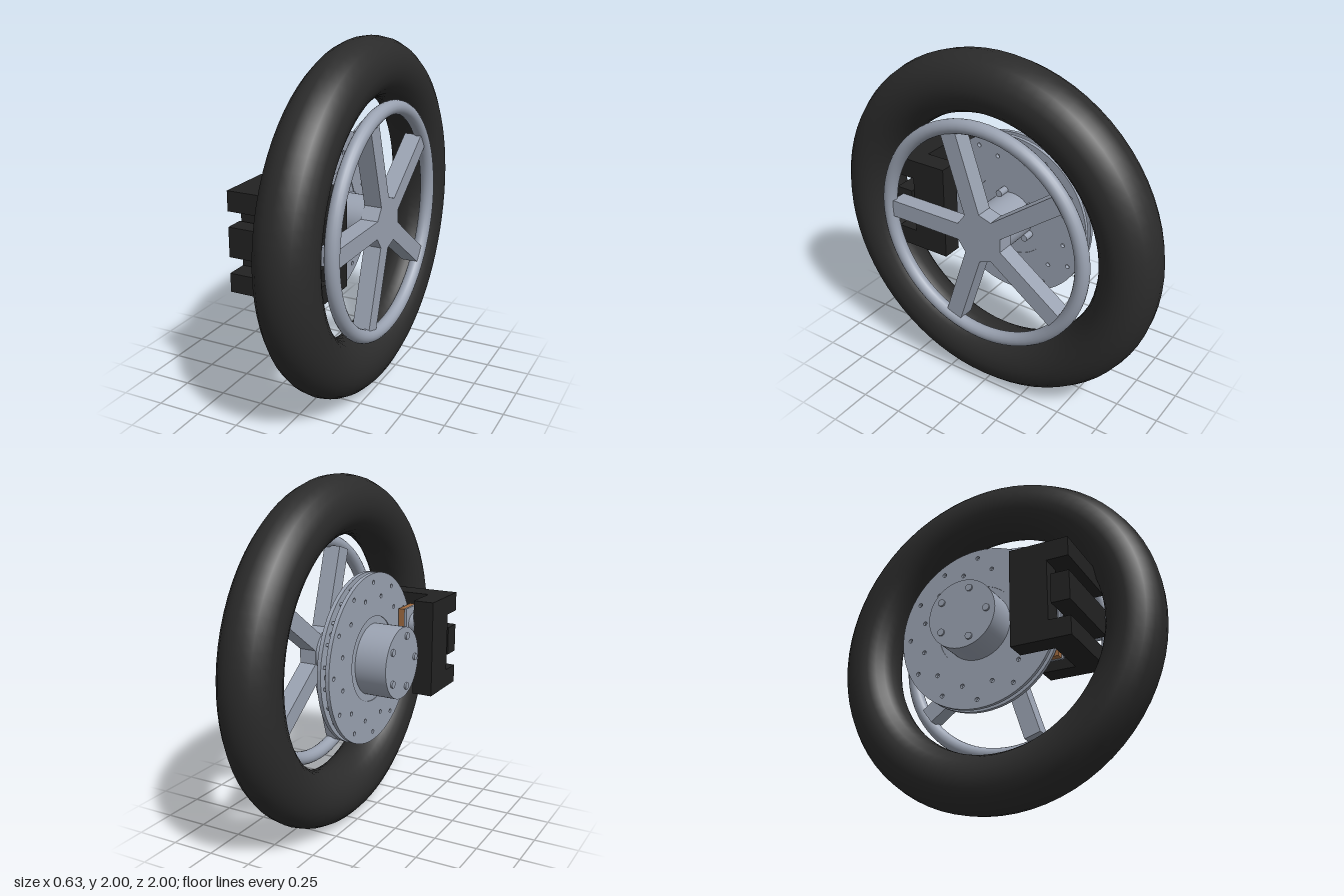
import * as THREE from 'three';

const mat = (name, color) => {
  const m = new THREE.MeshStandardMaterial({ color });
  m.name = name;
  return m;
};

export function createModel() {
  const rubber = mat('tyreRubber', 0x2b2b2b);
  const metal = mat('metal', 0x9aa2b1);
  const black = mat('caliperBlack', 0x222222);
  const brown = mat('padBrown', 0xa06b40);

  const model = new THREE.Group();
  model.name = 'wheelWithBrake';
  // Everything is built around the axle, which runs along x at y = 1
  const axle = new THREE.Group();
  axle.name = 'axleAssembly';
  axle.position.y = 1;
  model.add(axle);

  const add = (name, geometry, material, parent = axle) => {
    const m = new THREE.Mesh(geometry, material);
    m.name = name;
    parent.add(m);
    return m;
  };
  // Cylinder along x from x0 to x1
  const rod = (r, x0, x1, y = 0, z = 0, sides = 40) =>
    new THREE.CylinderGeometry(r, r, x1 - x0, sides)
      .rotateZ(-Math.PI / 2).translate((x0 + x1) / 2, y, z);
  // Box given by its limits
  const block = (x0, x1, y0, y1, z0, z1) =>
    new THREE.BoxGeometry(x1 - x0, y1 - y0, z1 - z0)
      .translate((x0 + x1) / 2, (y0 + y1) / 2, (z0 + z1) / 2);
  const ring = (R, r, x, tubeSides) =>
    new THREE.TorusGeometry(R, r, tubeSides, 72).rotateY(Math.PI / 2).translate(x, 0, 0);

  // Tyre and rim
  add('tyre', ring(0.835, 0.165, 0.135, 20), rubber);
  add('rim', ring(0.63, 0.04, 0.27, 16), metal);

  // Five-sided hub, shaft, spokes and bolts
  const hub = rod(0.173, 0.19, 0.29, 0, 0, 5).toNonIndexed();
  hub.computeVertexNormals();
  add('hub', hub, metal);
  add('shaft', rod(0.135, -0.04, 0.2), metal);
  for (let i = 0; i < 5; i++) {
    const a = i * Math.PI * 2 / 5;
    add('spoke', block(0.19, 0.29, -0.05, 0.05, 0.05, 0.6), metal).rotation.x = -a;
    add('bolt', rod(0.02, -0.29, 0.03, 0.15 * Math.sin(a), 0.15 * Math.cos(a), 16), metal);
  }

  // Vented brake disc: two drilled plates with vanes between them
  const plateShape = new THREE.Shape().absarc(0, 0, 0.48, 0, Math.PI * 2, false);
  const cut = (x, y, r) =>
    plateShape.holes.push(new THREE.Path().absarc(x, y, r, 0, Math.PI * 2, true));
  cut(0, 0, 0.24);
  for (let i = 0; i < 24; i++) {
    const a = i * Math.PI / 12;
    const r = i % 2 ? 0.35 : 0.43;
    cut(r * Math.cos(a), r * Math.sin(a), 0.012);
  }
  const disc = new THREE.Group();
  disc.name = 'brakeDisc';
  axle.add(disc);
  for (const x of [-0.1, -0.05]) {
    const plate = new THREE.ExtrudeGeometry(plateShape, {
      depth: 0.022, bevelEnabled: false, curveSegments: 32,
    }).rotateY(Math.PI / 2).translate(x, 0, 0);
    add('discPlate', plate, metal, disc);
  }
  for (let i = 0; i < 24; i++) {
    const vane = add('vane', block(-0.08, -0.048, -0.008, 0.008, 0.23, 0.455), metal, disc);
    vane.rotation.x = (i + 0.5) * Math.PI / 12;
  }
  add('discFlange', rod(0.24, -0.096, -0.032, 0, 0, 64), metal, disc);
  add('discBell', rod(0.2, -0.28, -0.09, 0, 0, 64), metal, disc);

  // Caliper: three arms bridging the disc, and a mirrored jaw on each side
  const caliper = new THREE.Group();
  caliper.name = 'caliper';
  axle.add(caliper);
  const mid = -0.064;
  const half = 0.255;
  const arms = [[0.17, 0.28, 0.5], [-0.08, 0.085, 0.535], [-0.275, -0.17, 0.5]];
  for (const [y0, y1, z0] of arms)
    add('caliperArm', block(mid - half, mid + half, y0, y1, z0, 0.64), black, caliper);
  for (const s of [-1, 1]) {
    // Limits are distances outward from the disc's middle plane
    const span = (a, b) => [Math.min(mid + s * a, mid + s * b), Math.max(mid + s * a, mid + s * b)];
    add('caliperJaw', block(...span(0.135, half), -0.275, 0.28, 0.305, 0.518), black, caliper);
    add('brakePad', block(...span(0.05, 0.091), -0.23, 0.23, 0.28, 0.44), brown, caliper);
    add('padBacking', block(...span(0.091, 0.105), -0.235, 0.235, 0.272, 0.45), metal, caliper);
    for (const y of [-0.13, 0.13])
      add('piston', rod(0.065, ...span(0.1, 0.14), y, 0.365, 24), metal, caliper);
  }
  return model;
}
